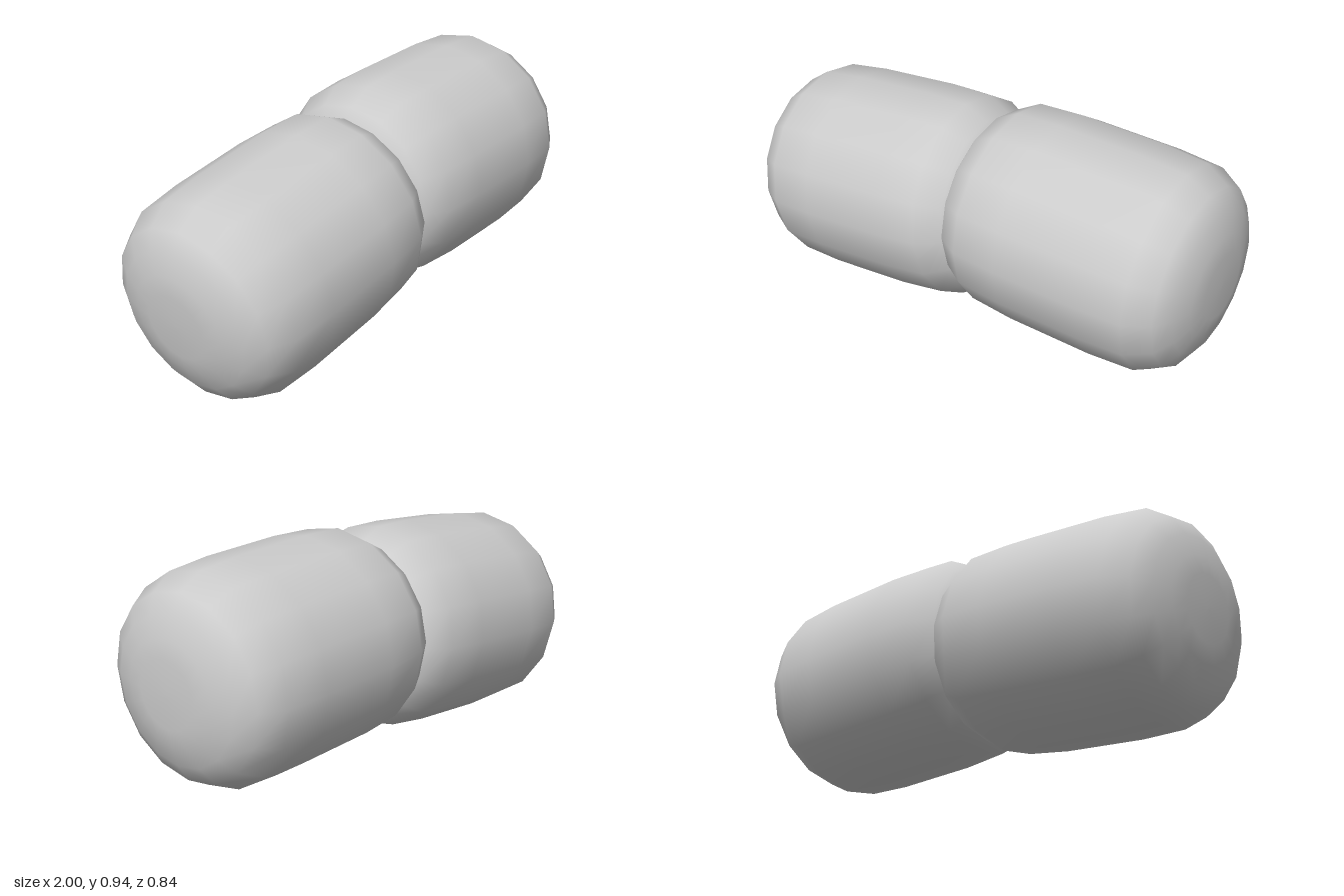
import * as THREE from 'three';

// Half profile of a barrel: [radius, distance from the middle]
const HALF = [[0.415, 0.175], [0.403, 0.36], [0.35, 0.455], [0.28, 0.5], [0.2, 0.525], [0.13, 0.54], [0, 0.541]];

export function createModel() {
  const group = new THREE.Group();
  const material = new THREE.MeshStandardMaterial({ color: 0xcccccc });

  // Mirror the half profile and spin it, then lay the axis along x
  const profile = [
    ...[...HALF].reverse().map(([r, d]) => new THREE.Vector2(r, -d)),
    ...HALF.map(([r, d]) => new THREE.Vector2(r, d)),
  ];
  const geometry = new THREE.LatheGeometry(profile, 16);
  geometry.rotateZ(-Math.PI / 2);
  geometry.scale(1, 1, 1.01);

  const addSegment = (name, x, y, tilt) => {
    const mesh = new THREE.Mesh(geometry, material);
    mesh.name = name;
    mesh.position.set(x, y, 0);
    mesh.rotation.z = tilt;
    group.add(mesh);
  };

  // Level segment, and the lower one tilted against it
  addSegment('leftSegment', 0.458, 0.53, 0);
  addSegment('rightSegment', -0.452, 0.446, THREE.MathUtils.degToRad(7));

  return group;
}
